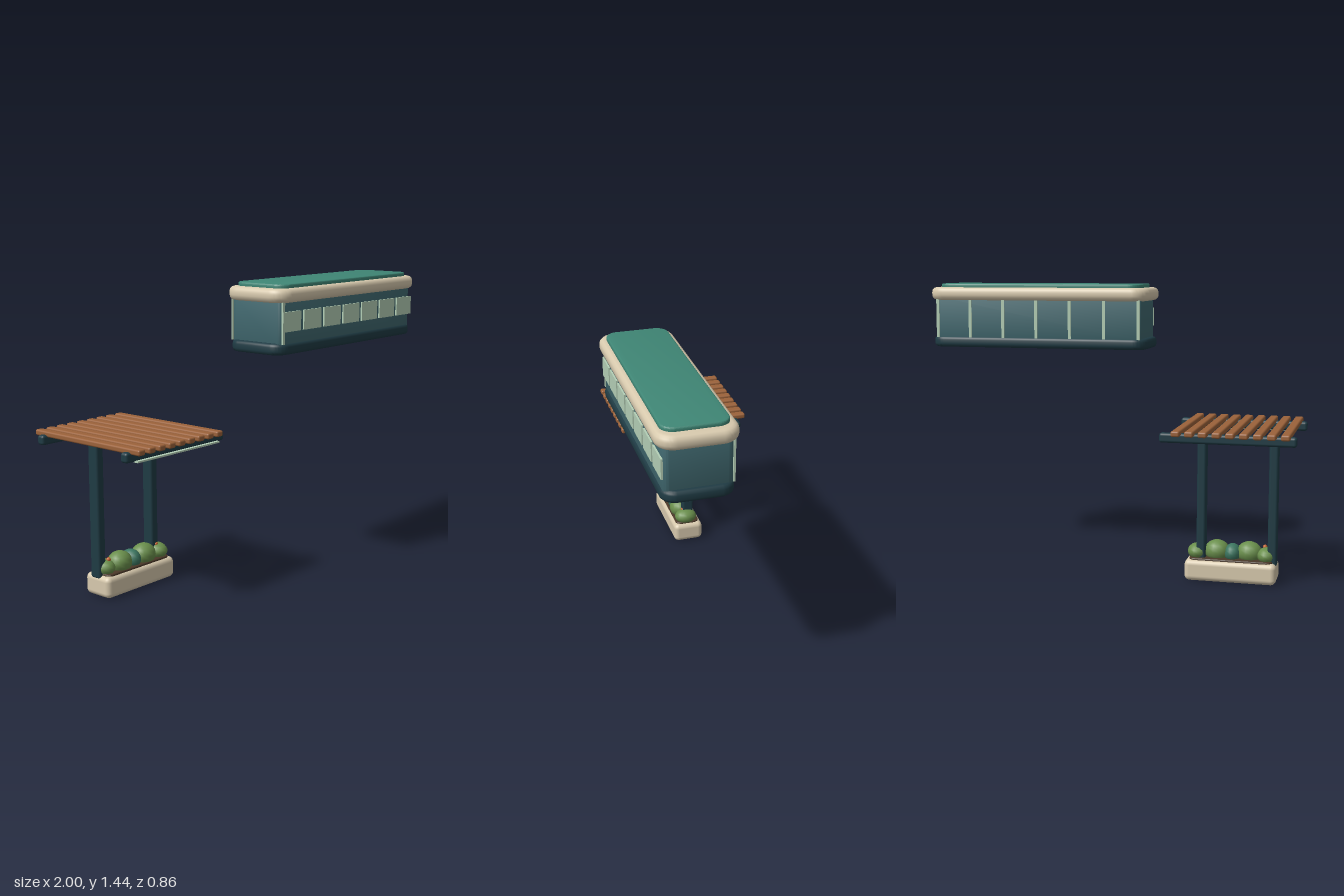
import * as THREE from 'three';
import { toCreasedNormals } from 'three/addons/utils/BufferGeometryUtils.js';
import { RoundedBoxGeometry } from 'three/addons/geometries/RoundedBoxGeometry.js';

const colour = (name, hex) => {
  const m = new THREE.MeshStandardMaterial({ color: hex });
  m.name = name;
  return m;
};

// Horizontal slab with rounded plan corners and softened rims, standing on y = 0
function slabGeometry(w, h, d, r, bevel) {
  const x = w / 2 - bevel, y = d / 2 - bevel, c = Math.max(r - bevel, 0.005);
  const s = new THREE.Shape();
  s.absarc(x - c, y - c, c, 0, Math.PI / 2);
  s.absarc(-x + c, y - c, c, Math.PI / 2, Math.PI);
  s.absarc(-x + c, -y + c, c, Math.PI, Math.PI * 1.5);
  s.absarc(x - c, -y + c, c, Math.PI * 1.5, Math.PI * 2);
  s.closePath();
  const g = new THREE.ExtrudeGeometry(s, {
    depth: h - 2 * bevel, bevelEnabled: true, bevelThickness: bevel,
    bevelSize: bevel, bevelSegments: 3, curveSegments: 8,
  });
  g.rotateX(-Math.PI / 2).translate(0, bevel, 0);
  return toCreasedNormals(g, 0.7);
}

export function createModel() {
  const mats = {
    navy: colour('dark navy', 0x1f3b44),
    teal: colour('carriage teal', 0x40686f),
    cream: colour('cream', 0xd8caae),
    roof: colour('roof green', 0x3f8675),
    glass: colour('pale glass', 0xb4cfb6),
    wood: colour('warm wood', 0x9b623a),
    leaf: colour('leaf green', 0x6a8f4c),
    darkLeaf: colour('deep leaf', 0x3c7560),
    soil: colour('soil', 0x4a3828),
    flower: colour('flower orange', 0xc4622e),
  };
  const model = new THREE.Group();
  model.name = 'tramAndPergola';
  const tram = new THREE.Group(), pergola = new THREE.Group(), planter = new THREE.Group();
  tram.name = 'tram';
  pergola.name = 'pergola';
  planter.name = 'planter';
  model.add(tram, pergola, planter);

  const add = (parent, name, geo, mat, x, y, z) => {
    const mesh = new THREE.Mesh(geo, mat);
    mesh.name = name;
    mesh.position.set(x, y, z);
    parent.add(mesh);
    return mesh;
  };
  const rounded = (w, h, d, r) => new RoundedBoxGeometry(w, h, d, 3, r);

  // Tram body, from skirt to roof
  const cx = 0.402, cz = 0.243;
  add(tram, 'skirt', slabGeometry(1.172, 0.056, 0.326, 0.07, 0.018), mats.navy, cx, 1.11, cz);
  add(tram, 'body', slabGeometry(1.122, 0.23, 0.31, 0.03, 0.006), mats.teal, cx, 1.15, cz);
  add(tram, 'cornice', slabGeometry(1.19, 0.067, 0.367, 0.085, 0.026), mats.cream, cx, 1.358, cz);
  add(tram, 'roofPanel', slabGeometry(1.092, 0.028, 0.304, 0.06, 0.007), mats.roof, cx - 0.002, 1.416, cz);

  // Windows along the front, slim ribs along the back
  const windowGeo = new THREE.BoxGeometry(0.139, 0.095, 0.009);
  const ribGeo = new THREE.BoxGeometry(0.016, 0.2, 0.009);
  for (let i = 0; i < 7; i++) {
    add(tram, 'window', windowGeo, mats.glass, -0.087 + i * 0.163, 1.268, 0.402);
    add(tram, 'backRib', ribGeo, mats.glass, -0.144 + i * 0.182, 1.262, 0.0865);
  }
  add(tram, 'frontRib', ribGeo, mats.glass, -0.144, 1.262, 0.397);

  // Pergola posts and rails
  for (const x of [-0.872, -0.521]) {
    add(pergola, 'post', rounded(0.045, 0.66, 0.062, 0.012), mats.navy, x, 0.417, -0.126);
  }
  for (const z of [-0.364, 0.19]) {
    add(pergola, 'rail', rounded(0.645, 0.047, 0.042, 0.013), mats.navy, -0.6775, 0.736, z);
  }
  // Roof slats and the light strip under the front rail
  const slatGeo = rounded(0.042, 0.028, 0.692, 0.009);
  for (let i = 0; i < 9; i++) {
    add(pergola, 'slat', slatGeo, mats.wood, -0.952 + i * 0.064, 0.762, -0.084);
  }
  add(pergola, 'lightStrip', new THREE.BoxGeometry(0.54, 0.008, 0.03), mats.glass, -0.675, 0.713, 0.211);

  // Planter trough with soil
  add(planter, 'trough', rounded(0.45, 0.105, 0.162, 0.026), mats.cream, -0.67, 0.0525, -0.116);
  add(planter, 'soil', slabGeometry(0.41, 0.02, 0.13, 0.03, 0.004), mats.soil, -0.67, 0.092, -0.116);

  // Shrubs: x, y, z, then radii
  const ball = new THREE.SphereGeometry(1, 14, 10);
  const shrubs = [
    [-0.842, 0.133, -0.118, 0.047, 0.04, 0.058, mats.leaf],
    [-0.756, 0.14, -0.103, 0.063, 0.055, 0.058, mats.leaf],
    [-0.674, 0.135, -0.11, 0.042, 0.047, 0.055, mats.darkLeaf],
    [-0.596, 0.14, -0.103, 0.063, 0.055, 0.058, mats.leaf],
    [-0.5, 0.135, -0.111, 0.05, 0.04, 0.062, mats.leaf],
  ];
  for (const [x, y, z, rx, ry, rz, mat] of shrubs) {
    add(planter, 'shrub', ball, mat, x, y, z).scale.set(rx, ry, rz);
  }
  for (const x of [-0.832, -0.514]) {
    add(planter, 'flower', ball, mats.flower, x, 0.171, -0.099).scale.setScalar(0.011);
  }
  return model;
}
